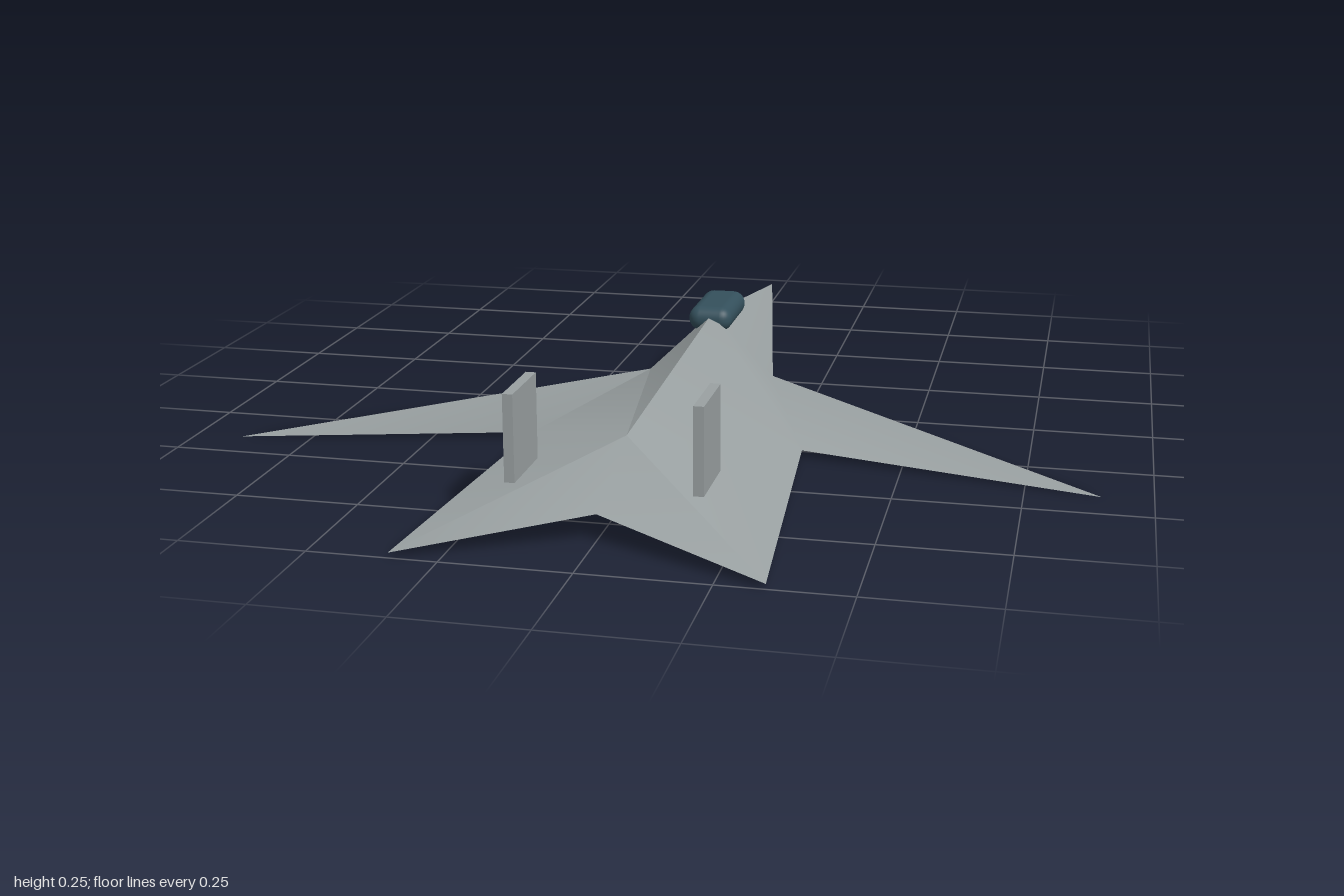
import * as THREE from 'three';
import { toCreasedNormals } from 'three/addons/utils/BufferGeometryUtils.js';
import { RoundedBoxGeometry } from 'three/addons/geometries/RoundedBoxGeometry.js';

// Corners of the +x half of the airframe; the nose points to -z
const P = {
  nose: [0, 0.05, -1],
  apex: [0, 0.17, -0.2],
  ridgeEnd: [0, 0.13, 0.61],
  notch: [0, 0.052, 0.84],
  shoulder: [0.145, 0.03, -0.19],
  root: [0.29, 0.014, 0.285],
  tail: [0.343, 0.01, 1],
  tip: [0.9, 0, 0.404],
  keelFront: [0, 0.03, -0.19],
  keelRear: [0, 0.014, 0.285],
};

// Triangles of one half, listed counter-clockwise as seen from above
const TOP = [
  ['nose', 'apex', 'shoulder'],
  ['ridgeEnd', 'tail', 'root'],
  ['ridgeEnd', 'notch', 'tail'],
  ['shoulder', 'root', 'tip'], // wing, a thin sheet
];
const BOTTOM = [
  ['nose', 'keelFront', 'shoulder'],
  ['keelFront', 'keelRear', 'root'],
  ['keelFront', 'root', 'shoulder'],
  ['keelRear', 'notch', 'root'],
  ['notch', 'tail', 'root'],
];
// The mid-body panel is folded along a different diagonal on each side
const LEFT_PANEL = [['apex', 'ridgeEnd', 'root'], ['apex', 'root', 'shoulder']];
const RIGHT_PANEL = [['apex', 'ridgeEnd', 'shoulder'], ['ridgeEnd', 'root', 'shoulder']];

function airframe() {
  const pos = [];
  const add = (tri, side, flip) => {
    const names = flip !== (side < 0) ? [...tri].reverse() : tri;
    for (const n of names) pos.push(P[n][0] * side, P[n][1], P[n][2]);
  };
  for (const [side, panel] of [[1, LEFT_PANEL], [-1, RIGHT_PANEL]]) {
    [...TOP, ...panel].forEach((t) => add(t, side, false));
    BOTTOM.forEach((t) => add(t, side, true));
  }
  const geo = new THREE.BufferGeometry();
  geo.setAttribute('position', new THREE.Float32BufferAttribute(pos, 3));
  return toCreasedNormals(geo, THREE.MathUtils.degToRad(32));
}

export function createModel() {
  // Double-sided because the wings are single sheets
  const hullGrey = new THREE.MeshStandardMaterial({ name: 'hullGrey', color: 0x9aa1a2, side: THREE.DoubleSide });
  const canopyBlue = new THREE.MeshStandardMaterial({ name: 'canopyBlue', color: 0x34505c });

  const model = new THREE.Group();
  model.name = 'jet';
  const part = (name, geo, mat, x = 0, y = 0, z = 0) => {
    const mesh = new THREE.Mesh(geo, mat);
    mesh.name = name;
    mesh.position.set(x, y, z);
    model.add(mesh);
  };

  // Fuselage and swept wings in one smooth skin
  part('airframe', airframe(), hullGrey);

  // Upright tail fins
  for (const [name, side] of [['leftFin', 1], ['rightFin', -1]]) {
    part(name, new THREE.BoxGeometry(0.02, 0.172, 0.15), hullGrey, side * 0.18, 0.168, 0.715);
  }

  // Cockpit cover sitting on the ridge
  part('canopy', new RoundedBoxGeometry(0.1, 0.056, 0.203, 4, 0.027), canopyBlue, 0, 0.162, -0.258);

  return model;
}
